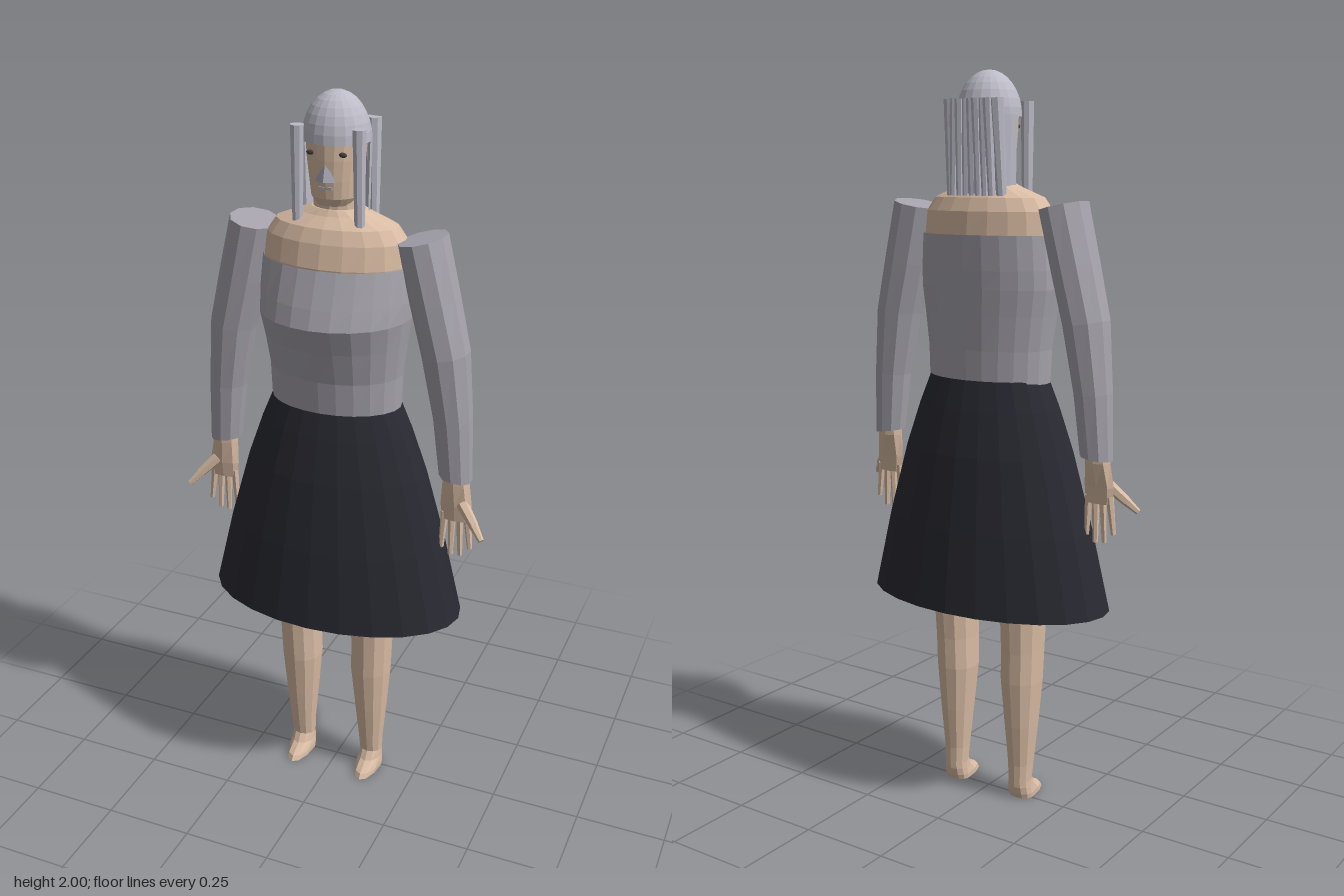
import * as THREE from 'three';

const mat = (name, color, side = THREE.FrontSide) => {
  const m = new THREE.MeshStandardMaterial({ color, side });
  m.name = name;
  return m;
};

export function createModel() {
  const skin = mat('skin', 0xd9bca4);
  const cloth = mat('grey cloth', 0xa6a3ac, THREE.DoubleSide);
  const dark = mat('dark cloth', 0x292a32, THREE.DoubleSide);
  const silver = mat('silver hair', 0xbcbbc7, THREE.DoubleSide);
  const eyeDark = mat('eye', 0x4a4040);
  const noseGrey = mat('nose grey', 0xa9a9b8);

  const model = new THREE.Group();
  model.name = 'figure';

  const add = (name, geo, material, parent = model) => {
    const flat = geo.index ? geo.toNonIndexed() : geo;
    flat.computeVertexNormals();
    const mesh = new THREE.Mesh(flat, material);
    mesh.name = name;
    parent.add(mesh);
    return mesh;
  };

  // Skin over elliptical rings, listed bottom to top:
  // [centre x, y, centre z, half width, front depth, back depth, tilt]
  const loft = (rings, n, capBottom = true, capTop = true) => {
    const pos = [], idx = [];
    for (const [cx, y, cz, rx, rf, rb = rf, tilt = 0] of rings) {
      for (let i = 0; i < n; i++) {
        const a = (i / n) * Math.PI * 2, s = Math.sin(a), c = Math.cos(a);
        pos.push(cx + rx * s, y + tilt * s, cz + c * (c > 0 ? rf : rb));
      }
    }
    for (let j = 0; j < rings.length - 1; j++) {
      for (let i = 0; i < n; i++) {
        const a = j * n + i, b = j * n + (i + 1) % n;
        idx.push(a, b, b + n, a, b + n, a + n);
      }
    }
    const top = (rings.length - 1) * n;
    for (let i = 1; i < n - 1; i++) {
      if (capBottom) idx.push(0, i + 1, i);
      if (capTop) idx.push(top, top + i, top + i + 1);
    }
    const g = new THREE.BufferGeometry();
    g.setAttribute('position', new THREE.Float32BufferAttribute(pos, 3));
    g.setIndex(idx);
    return g;
  };

  // Tapered rod between two points
  const rod = (name, a, b, ra, rb, material, parent, n = 6) => {
    const p = new THREE.Vector3(...a), q = new THREE.Vector3(...b);
    const g = new THREE.CylinderGeometry(rb, ra, p.distanceTo(q), n);
    const m = add(name, g, material, parent);
    m.position.copy(p).add(q).multiplyScalar(0.5);
    m.quaternion.setFromUnitVectors(new THREE.Vector3(0, 1, 0), q.sub(p).normalize());
  };

  // Skirt
  add('skirt', loft([
    [0, 0.58, 0, 0.367, 0.213], [0, 0.8, 0, 0.313, 0.188], [0, 1.0, 0, 0.255, 0.16],
    [0, 1.12, 0, 0.212, 0.135], [0, 1.2, 0, 0.178, 0.115],
  ], 24, false, false), dark);

  // Strapless bodice
  add('bodice', loft([
    [0, 1.19, 0, 0.182, 0.122, 0.11], [0, 1.28, 0, 0.185, 0.13, 0.11], [0, 1.37, 0, 0.196, 0.157, 0.113],
    [0, 1.44, 0, 0.206, 0.185, 0.116], [0, 1.49, 0, 0.206, 0.168, 0.118], [0, 1.58, 0, 0.2, 0.132, 0.12],
  ], 24, false, false), cloth);

  // Bare shoulders and neck
  add('shoulders', loft([
    [0, 1.48, 0, 0.19, 0.11, 0.1], [0, 1.58, 0, 0.196, 0.122, 0.106], [0, 1.64, 0, 0.19, 0.108, 0.1],
    [0, 1.675, 0, 0.165, 0.092, 0.085], [0, 1.7, 0, 0.1, 0.065, 0.065], [0, 1.715, 0, 0.066, 0.055, 0.055],
  ], 20), skin);
  add('neck', loft([[0, 1.69, 0, 0.062, 0.052], [0, 1.77, 0, 0.058, 0.05]], 16), skin);

  // Head
  add('face', loft([
    [0, 1.725, 0.01, 0.048, 0.05, 0.06], [0, 1.745, 0.01, 0.061, 0.06, 0.065], [0, 1.79, 0.008, 0.067, 0.067, 0.07],
    [0, 1.84, 0.005, 0.074, 0.072, 0.075], [0, 1.9, 0, 0.079, 0.076, 0.078],
  ], 20), skin);
  const nose = add('nose', new THREE.ConeGeometry(0.028, 0.05, 4), noseGrey);
  nose.position.set(0, 1.815, 0.074);
  nose.scale.z = 0.55;
  const mouth = add('mouth', new THREE.BoxGeometry(0.035, 0.006, 0.008), noseGrey);
  mouth.position.set(0, 1.773, 0.071);
  for (const s of [-1, 1]) {
    const eye = add('eye', new THREE.SphereGeometry(0.008, 8, 6), eyeDark);
    eye.position.set(s * 0.043, 1.857, 0.066);
    eye.scale.set(1.4, 0.8, 0.7);
  }

  // Hair dome
  const cap = add('hairCap', new THREE.SphereGeometry(1, 20, 8, 0, Math.PI * 2, 0, Math.PI / 2), silver);
  cap.scale.set(0.088, 0.12, 0.085);
  cap.position.y = 1.88;
  // Hair falling round the back of the head
  const fall = new THREE.CylinderGeometry(0.088, 0.084, 0.2, 12, 1, true, Math.PI / 2, Math.PI);
  add('backHair', fall, silver).position.y = 1.785;
  // Hanging locks
  for (const s of [-1, 1]) {
    rod('frontLock', [s * 0.084, 1.67, 0.055], [s * 0.082, 1.92, 0.057], 0.014, 0.018, silver, model, 8);
    rod('sideLock', [s * 0.078, 1.68, -0.058], [s * 0.07, 1.925, -0.072], 0.014, 0.02, silver, model, 8);
  }
  for (let i = -3; i <= 3; i++) {
    rod('backLock', [i * 0.02, 1.68, -0.076], [i * 0.018, 1.925, -0.08 + (i % 2) * 0.004], 0.01, 0.015, silver, model, 8);
  }

  for (const s of [-1, 1]) {
    const side = s > 0 ? 'left' : 'right';

    // Sleeve with a slanted flat top
    add(side + 'Sleeve', loft([
      [s * 0.34, 1.012, -0.004, 0.045, 0.041, 0.041, -s * 0.006],
      [s * 0.327, 1.18, -0.003, 0.052, 0.053, 0.053, s * 0.002],
      [s * 0.302, 1.36, 0, 0.062, 0.069, 0.07, s * 0.01],
      [s * 0.268, 1.5, 0, 0.063, 0.075, 0.075, s * 0.014],
      [s * 0.231, 1.655, 0, 0.062, 0.082, 0.08, s * 0.014],
    ], 10), cloth);

    // Hand
    const hand = new THREE.Group();
    hand.name = side + 'Hand';
    model.add(hand);
    add('palm', loft([
      [s * 0.347, 0.89, 0.002, 0.04, 0.013], [s * 0.347, 0.935, 0.002, 0.044, 0.018],
      [s * 0.343, 1.0, -0.002, 0.038, 0.027], [s * 0.342, 1.03, -0.002, 0.036, 0.028],
    ], 8), skin, hand);
    [0.81, 0.785, 0.782, 0.8].forEach((tip, i) => {
      const x = 0.379 - i * 0.021;
      rod('finger', [s * x, 0.91, 0.002], [s * (x + 0.012 - i * 0.006), tip, 0.004], 0.011, 0.007, skin, hand);
    });
    rod('thumb', [s * 0.365, 0.945, 0.008], [s * 0.41, 0.897, 0.035], 0.017, 0.013, skin, hand);
    rod('thumbTip', [s * 0.406, 0.901, 0.033], [s * 0.436, 0.868, 0.053], 0.013, 0.008, skin, hand);

    // Leg
    add(side + 'Leg', loft([
      [s * 0.11, 0.045, -0.006, 0.033, 0.032], [s * 0.11, 0.1, -0.002, 0.036, 0.036],
      [s * 0.11, 0.22, 0, 0.047, 0.05], [s * 0.109, 0.35, 0.002, 0.058, 0.062],
      [s * 0.111, 0.44, 0.003, 0.059, 0.065], [s * 0.113, 0.6, 0.002, 0.064, 0.075],
      [s * 0.105, 0.95, 0, 0.082, 0.09], [s * 0.09, 1.12, 0, 0.086, 0.09],
    ], 12), skin);

    // Foot sloping forward to the toes
    add(side + 'Foot', loft([
      [s * 0.11, 0, 0, 0.036, 0.094, 0.026], [s * 0.11, 0.014, -0.002, 0.037, 0.086, 0.03],
      [s * 0.11, 0.035, -0.005, 0.035, 0.05, 0.031], [s * 0.11, 0.06, -0.005, 0.033, 0.033, 0.031],
    ], 12), skin);
  }
  return model;
}
